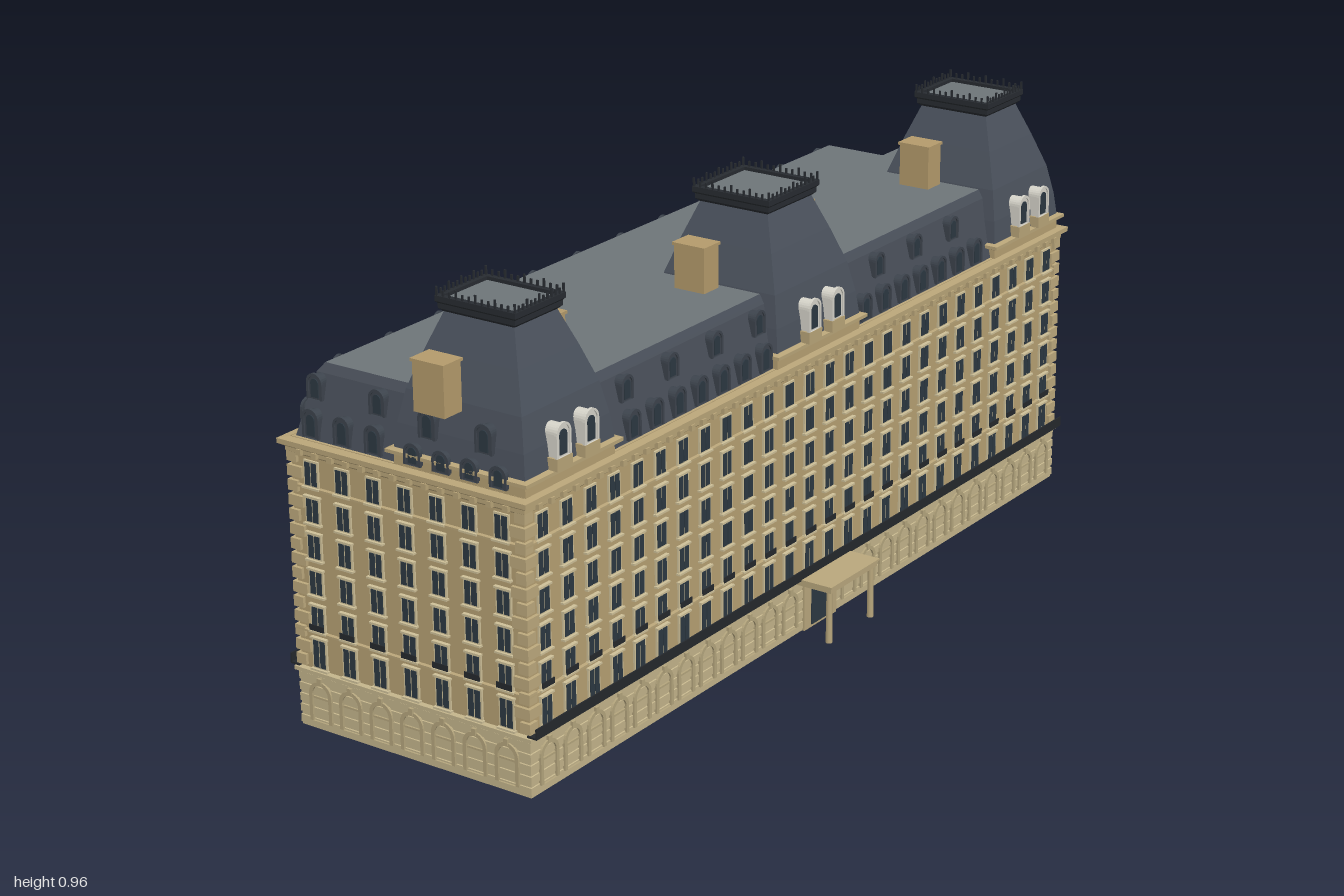
import * as THREE from 'three';
import { mergeGeometries } from 'three/addons/utils/BufferGeometryUtils.js';

const COLORS = {
  walls: 0xb59f72, base: 0xc2b38a, cornice: 0xb8a478, quoins: 0xbba87c, arches: 0xb3a47c,
  windowSurrounds: 0xcdbf97, glass: 0x2c3842, railings: 0x24282c, mansard: 0x474d57,
  flatRoof: 0x6d7478, dormers: 0x3c434c, paleDormers: 0xd4d2c8, towerRoofs: 0x4a515c,
  towerCrowns: 0x272b30, chimneys: 0xb39a6b, canopy: 0xb8a67c, towerFlats: 0x6d7478,
};
// Footprint of the walls, as [x, z] corners
const PLAN = [[-0.293, 0.94], [0.268, 0.94], [0.268, -0.995], [-0.15, -0.995], [-0.15, -0.892], [-0.293, -0.892]];
// Facades: turn, centre x, centre z, length, window columns
const SIDES = [
  [0, -0.0125, 0.94, 0.561, 7],
  [Math.PI / 2, 0.268, -0.0275, 1.935, 26],
  [Math.PI, 0.059, -0.995, 0.418, 5],
  [-Math.PI / 2, -0.293, 0.024, 1.832, 24],
];
// Towers: centre z, half depth
const TOWERS = [[0.8, 0.137], [-0.025, 0.152], [-0.852, 0.137]];
const TX = 0.115, THX = 0.155;

// Move a square-cornered outline inwards by d
function inset(plan, d) {
  const n = plan.length;
  const normal = (i) => {
    const a = plan[(i + n) % n], b = plan[(i + 1) % n];
    return [-Math.sign(b[1] - a[1]), Math.sign(b[0] - a[0])];
  };
  return plan.map(([x, z], i) => {
    const p = normal(i - 1), q = normal(i);
    return [x - d * (p[0] + q[0]), z - d * (p[1] + q[1])];
  });
}

// Walls that follow an outline through a profile of [inset, y]
function shell(plan, profile) {
  const pos = [], n = plan.length;
  for (let k = 0; k + 1 < profile.length; k++) {
    const lo = inset(plan, profile[k][0]), hi = inset(plan, profile[k + 1][0]);
    const y0 = profile[k][1], y1 = profile[k + 1][1];
    for (let i = 0; i < n; i++) {
      const j = (i + 1) % n;
      const a = [lo[i][0], y0, lo[i][1]], b = [lo[j][0], y0, lo[j][1]];
      const c = [hi[j][0], y1, hi[j][1]], d = [hi[i][0], y1, hi[i][1]];
      pos.push(...a, ...b, ...c, ...a, ...c, ...d);
    }
  }
  const g = new THREE.BufferGeometry();
  g.setAttribute('position', new THREE.Float32BufferAttribute(pos, 3));
  g.computeVertexNormals();
  return g;
}

function cap(plan, d, y) {
  const shape = new THREE.Shape(inset(plan, d).map(([x, z]) => new THREE.Vector2(x, -z)));
  return new THREE.ShapeGeometry(shape).rotateX(-Math.PI / 2).translate(0, y, 0);
}

const box = (w, h, d, x = 0, y = 0, z = 0) => new THREE.BoxGeometry(w, h, d).translate(x, y, z);
const rect = (cx, cz, hx, hz) => [[cx - hx, cz + hz], [cx + hx, cz + hz], [cx + hx, cz - hz], [cx - hx, cz - hz]];

// Round-headed outline standing on y = 0
function archPath(P, w, h) {
  const p = new P(), r = w / 2;
  p.moveTo(-r, 0);
  p.lineTo(r, 0);
  p.lineTo(r, h - r);
  p.absarc(0, h - r, r, 0, Math.PI, false);
  p.lineTo(-r, 0);
  return p;
}
function arch(w, h, depth, rim = 0) {
  const s = archPath(THREE.Shape, w, h);
  if (rim) s.holes.push(archPath(THREE.Path, w - 2 * rim, h - rim));
  return new THREE.ExtrudeGeometry(s, { depth, bevelEnabled: false, curveSegments: 6 });
}

export function createModel() {
  const parts = {};
  const add = (name, g) => {
    const flat = g.index ? g.toNonIndexed() : g;
    flat.deleteAttribute('uv');
    (parts[name] ??= []).push(flat);
  };
  // Place a piece on a facade: t runs along it, out points away from it
  const onSide = (name, g, [ry, cx, cz], t, y, out = 0) => {
    const c = Math.cos(ry), s = Math.sin(ry);
    add(name, g.rotateY(ry).translate(cx + c * t + s * out, y, cz - s * t + c * out));
  };
  const dormer = (name, side, t, y, out, w, h) => {
    onSide(name, arch(w, h, 0.045), side, t, y, out - 0.045);
    onSide(name, arch(w + 0.008, h + 0.004, 0.006, 0.005), side, t, y, out - 0.003);
    onSide('glass', arch(w * 0.6, h * 0.78, 0.002), side, t, y + 0.004, out);
  };

  // Main shell, open below
  add('base', shell(PLAN, [[0, 0], [0, 0.115], [-0.008, 0.117], [-0.008, 0.125], [0.003, 0.126]]));
  for (let i = 0; i < 5; i++) add('base', shell(PLAN, [[0, 0.004 + i * 0.023], [-0.002, 0.005 + i * 0.023], [-0.002, 0.021 + i * 0.023], [0, 0.022 + i * 0.023]]));
  add('walls', shell(PLAN, [[0.003, 0.126], [0.003, 0.6]]));
  for (const y of [0.203, 0.502]) add('cornice', shell(PLAN, [[0.003, y], [-0.004, y + 0.001], [-0.004, y + 0.005], [0.003, y + 0.006]]));
  add('cornice', shell(PLAN, [[0.003, 0.566], [-0.005, 0.572], [-0.005, 0.58], [-0.016, 0.587], [-0.016, 0.597], [0.014, 0.6]]));
  add('mansard', shell(PLAN, [[0.01, 0.598], [0.042, 0.725], [0.054, 0.742]]));
  add('flatRoof', cap(PLAN, 0.054, 0.742));

  // Corner blocks
  PLAN.forEach(([x, z], i) => {
    if (i === 4) return;
    for (let k = 0; k < 15; k++) {
      const s = k % 2 ? 0.036 : 0.024;
      add('quoins', box(s, 0.022, s, x - Math.sign(x) * (s / 2 - 0.004), 0.142 + k * 0.03, z - Math.sign(z) * (s / 2 - 0.004)));
    }
  });

  // Facades: windows, blind arches, eave brackets, dormers
  SIDES.forEach((side, f) => {
    const [ry, cx, cz, len, n] = side;
    const step = (len - 0.03) / n;
    for (let i = 0; i < n; i++) {
      const t = (i - (n - 1) / 2) * step;
      for (let r = 0; r < 6; r++) {
        const y = 0.161 + r * 0.0745, h = r === 0 ? 0.056 : 0.046;
        onSide('windowSurrounds', box(0.036, h + 0.008, 0.006), side, t, y, -0.002);
        onSide('windowSurrounds', box(0.042, 0.004, 0.012), side, t, y - h / 2 - 0.005);
        if (r < 5) onSide('windowSurrounds', box(0.04, 0.004, 0.01), side, t, y + h / 2 + 0.005);
        for (const s of [-1, 1]) onSide('glass', box(0.0125, h, 0.004), side, t + s * 0.0078, y, 0.0005);
        if (r === 1) onSide('railings', box(0.036, 0.012, 0.002), side, t, y - 0.018, 0.006);
      }
      const door = f === 1 && Math.abs(t) < 0.08;
      if (!door) {
        onSide('arches', arch(0.056, 0.085, 0.006, 0.008), side, t, 0.018);
        onSide('arches', box(0.01, 0.014, 0.01), side, t, 0.104, 0.003);
        onSide('arches', box(0.038, 0.004, 0.006), side, t, 0.068, 0.001);
      }
      for (const s of [-0.25, 0.25]) onSide('cornice', box(0.012, 0.012, 0.018), side, t + s * step, 0.577, 0.004);

      // Dormers wherever no tower stands
      const x = cx + Math.cos(ry) * t, z = cz - Math.sin(ry) * t;
      const inTower = x > TX - THX - 0.02 && TOWERS.some(([tz, hz]) => Math.abs(z - tz) < hz + 0.02);
      if (!inTower) {
        dormer('dormers', side, t, 0.605, -0.006, 0.032, 0.054);
        if (i % 2 === 0) dormer('dormers', side, t, 0.677, -0.022, 0.03, 0.048);
      }
    }
    // Long balconies above the base
    if (f % 2) {
      onSide('railings', box(len + 0.01, 0.004, 0.022), side, 0, 0.128, 0.008);
      onSide('railings', box(len + 0.01, 0.02, 0.003), side, 0, 0.138, 0.018);
    }
  });

  // Towers
  TOWERS.forEach(([tz, hz], k) => {
    const plan = rect(TX, tz, THX, hz);
    add('walls', shell(plan, [[0.002, 0.598], [0.002, 0.622]]));
    add('cornice', shell(plan, [[0.002, 0.618], [-0.01, 0.623], [-0.01, 0.63], [0.006, 0.633]]));
    add('towerRoofs', shell(plan, [[0.002, 0.63], [0.008, 0.68], [0.021, 0.745], [0.047, 0.82], [0.075, 0.893]]));
    add('towerCrowns', shell(plan, [[0.075, 0.888], [0.066, 0.896], [0.066, 0.906], [0.062, 0.91], [0.062, 0.921], [0.074, 0.921], [0.074, 0.912]]));
    add('towerFlats', cap(plan, 0.073, 0.914));

    // Roof cresting
    const a = THX - 0.065, b = hz - 0.065;
    for (const s of [-1, 1]) {
      for (let i = 0; i <= 12; i++) {
        const u = (i / 12) * 2 - 1, h = i % 3 ? 0.012 : 0.018;
        add('towerCrowns', box(0.004, h, 0.003, TX + u * a, 0.92 + h / 2, tz + s * b));
        add('towerCrowns', box(0.003, h, 0.004, TX + s * a, 0.92 + h / 2, tz + u * b));
      }
      // Chimney on each flank
      add('chimneys', box(0.072, 0.1, 0.05, TX - 0.027, 0.785, tz + s * (hz + 0.018)));
      add('chimneys', box(0.078, 0.006, 0.056, TX - 0.027, 0.835, tz + s * (hz + 0.018)));
    }
    // Dormers on the outer faces
    const east = [Math.PI / 2, TX + THX, tz];
    for (const t of [-0.042, 0.042]) {
      dormer('paleDormers', east, t, 0.655, 0.014, 0.036, 0.062);
      onSide('cornice', box(0.046, 0.024, 0.04), east, t, 0.643, -0.002);
    }
    if (k !== 1) {
      const end = k === 0 ? [0, TX, tz + hz] : [Math.PI, TX, tz - hz];
      for (const t of [-0.1, -0.033, 0.033, 0.1]) {
        dormer('dormers', end, t, 0.61, 0.008, 0.032, 0.04);
        if (Math.abs(t) < 0.05) dormer('dormers', end, t * 2, 0.668, 0.004, 0.032, 0.054);
      }
    }
  });

  // Entrance
  const door = SIDES[1];
  onSide('canopy', box(0.175, 0.013, 0.09), door, 0, 0.12, 0.043);
  onSide('canopy', box(0.183, 0.004, 0.095), door, 0, 0.127, 0.044);
  onSide('canopy', box(0.12, 0.112, 0.012), door, 0, 0.056, 0);
  onSide('glass', box(0.07, 0.088, 0.004), door, 0, 0.05, 0.006);
  for (const s of [-1, 1]) onSide('canopy', new THREE.CylinderGeometry(0.006, 0.007, 0.116, 10), door, s * 0.078, 0.058, 0.078);

  const group = new THREE.Group();
  for (const [name, geos] of Object.entries(parts)) {
    const material = new THREE.MeshStandardMaterial({ color: COLORS[name], side: THREE.DoubleSide });
    const mesh = new THREE.Mesh(mergeGeometries(geos), material);
    mesh.name = name;
    group.add(mesh);
  }
  // Set on a gentle slope and turned on its plot
  group.rotation.set(0.011, -0.379, 0, 'YXZ');
  group.position.y = 0.0105;
  const model = new THREE.Group();
  model.name = 'building';
  model.add(group);
  return model;
}
